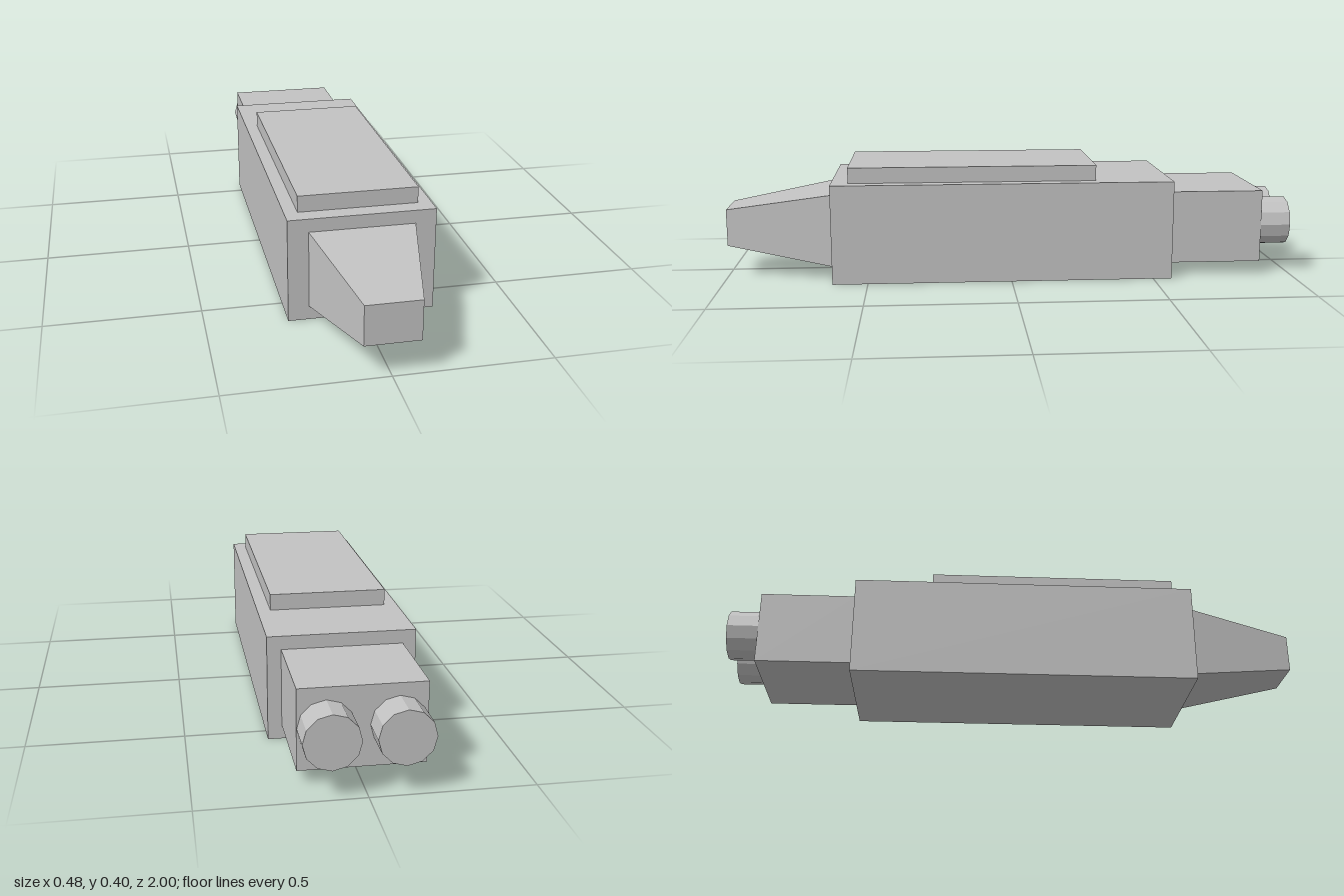
import * as THREE from 'three';

export function createModel() {
  const model = new THREE.Group();
  const grey = new THREE.MeshStandardMaterial({ color: 0xc2c2c2 });
  grey.name = 'grey';

  const add = (name, geometry) => {
    const mesh = new THREE.Mesh(geometry, grey);
    mesh.name = name;
    model.add(mesh);
    return mesh;
  };

  // Box given by its lower and upper limits on each axis
  const box = ([x0, x1], [y0, y1], [z0, z1]) =>
    new THREE.BoxGeometry(x1 - x0, y1 - y0, z1 - z0)
      .translate((x0 + x1) / 2, (y0 + y1) / 2, (z0 + z1) / 2);

  add('body', box([-0.238, 0.238], [0, 0.346], [-0.565, 0.622]));
  add('topPlate', box([-0.195, 0.194], [0.346, 0.4], [-0.297, 0.563]));
  add('rearBlock', box([-0.196, 0.193], [0.046, 0.302], [-0.893, -0.565]));

  // Nose: a box whose front end shrinks to a smaller rectangle
  const nose = box([-0.171, 0.171], [0.046, 0.302], [0.622, 1]);
  const p = nose.attributes.position;
  const midY = 0.1735;
  for (let i = 0; i < p.count; i++) {
    if (p.getZ(i) > 0.9) {
      p.setX(i, p.getX(i) * 0.508);
      p.setY(i, midY + (p.getY(i) - midY) * 0.508);
    }
  }
  nose.computeVertexNormals();
  add('nose', nose);

  // Pair of twelve-sided exhausts at the back
  for (const [name, x] of [['rightExhaust', -0.11], ['leftExhaust', 0.106]]) {
    const tube = new THREE.CylinderGeometry(0.086, 0.086, 0.107, 12)
      .rotateX(Math.PI / 2).toNonIndexed();
    tube.computeVertexNormals();
    add(name, tube).position.set(x, 0.177, -0.9465);
  }

  return model;
}
